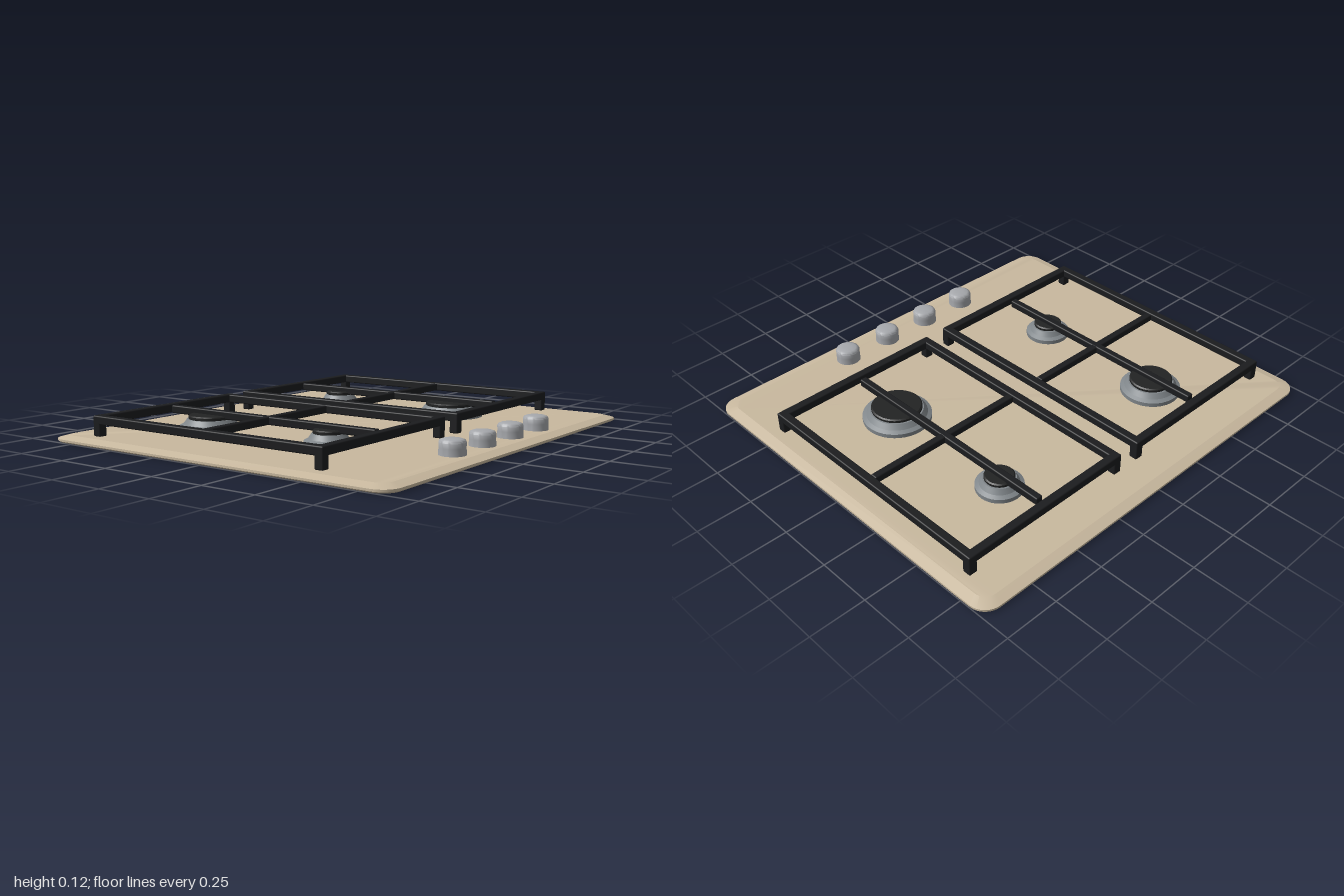
import * as THREE from 'three';
import { toCreasedNormals } from 'three/addons/utils/BufferGeometryUtils.js';
import { RoundedBoxGeometry } from 'three/addons/geometries/RoundedBoxGeometry.js';

const material = (name, color) => {
  const m = new THREE.MeshStandardMaterial({ color });
  m.name = name;
  return m;
};

// Points round a rectangle with rounded corners, at height y
function roundedLoop(halfX, halfZ, radius, y, steps = 8) {
  const points = [];
  for (let c = 0; c < 4; c++) {
    const sx = c === 0 || c === 3 ? 1 : -1, sz = c < 2 ? 1 : -1;
    for (let i = 0; i <= steps; i++) {
      const a = (c + i / steps) * Math.PI / 2;
      points.push([sx * (halfX - radius) + radius * Math.cos(a), y,
        sz * (halfZ - radius) + radius * Math.sin(a)]);
    }
  }
  return points;
}

// Closed solid through a stack of loops, from bottom to top
function loftLoops(loops) {
  const n = loops[0].length, index = [];
  const positions = loops.flat(2);
  for (let l = 0; l < loops.length - 1; l++) {
    for (let i = 0; i < n; i++) {
      const a = l * n + i, b = l * n + (i + 1) % n;
      index.push(a, a + n, b, b, a + n, b + n);
    }
  }
  const top = (loops.length - 1) * n;
  for (let i = 1; i < n - 1; i++) {
    index.push(0, i, i + 1, top, top + i + 1, top + i);
  }
  const g = new THREE.BufferGeometry();
  g.setAttribute('position', new THREE.Float32BufferAttribute(positions, 3));
  g.setIndex(index);
  return toCreasedNormals(g, 0.25);
}

function lathe(profile, crease) {
  const g = new THREE.LatheGeometry(profile.map(([r, y]) => new THREE.Vector2(r, y)), 40);
  return toCreasedNormals(g, crease);
}

export function createModel() {
  const enamel = material('beige enamel', 0xc9b99f);
  const iron = material('black cast iron', 0x1b1c1e);
  const cap = material('burner cap black', 0x222323);
  const steel = material('burner grey', 0x80868a);
  const knobMetal = material('knob silver', 0xa6a8ac);

  const model = new THREE.Group();
  model.name = 'gasHob';
  const add = (parent, name, geometry, mat, x = 0, y = 0, z = 0) => {
    const mesh = new THREE.Mesh(geometry, mat);
    mesh.name = name;
    mesh.position.set(x, y, z);
    parent.add(mesh);
    return mesh;
  };

  // Base plate with a shallow bevelled rim
  add(model, 'basePlate', loftLoops([
    roundedLoop(0.992, 0.872, 0.072, 0),
    roundedLoop(1, 0.88, 0.08, 0.006),
    roundedLoop(1, 0.88, 0.08, 0.015),
    roundedLoop(0.955, 0.835, 0.055, 0.028),
  ]), enamel);

  // Pan supports: frame, feet and crossing bars
  const zBack = -0.705, zFront = 0.53, zMid = (zBack + zFront) / 2;
  const width = 0.86, depth = zFront - zBack, bar = 0.04, barY = 0.099;
  for (const side of [-1, 1]) {
    const grate = new THREE.Group();
    grate.name = side < 0 ? 'rightPanSupport' : 'leftPanSupport';
    grate.position.set(side * 0.48, 0, zMid);
    const beam = (name, sx, sy, sz, x, y, z) =>
      add(grate, name, new RoundedBoxGeometry(sx, sy, sz, 2, 0.006), iron, x, y, z);
    for (const s of [-1, 1]) {
      beam('frameSideBar', bar, 0.038, depth, s * (width - bar) / 2, barY, 0);
      beam('frameEndBar', width, 0.038, bar, 0, barY, s * (depth - bar) / 2);
      for (const t of [-1, 1]) {
        beam('foot', bar, 0.08, bar, s * (width - bar) / 2, 0.067, t * (depth - bar) / 2);
      }
    }
    beam('longBar', 0.034, 0.036, 1.125, 0, barY, 0);
    beam('crossBar', 0.78, 0.034, 0.034, 0, barY, 0);
    model.add(grate);
  }

  // Burners: flared grey body with a black cap
  const burners = [
    ['backRightBurner', -0.485, -0.42, 0.138, 0.098],
    ['frontRightBurner', -0.485, 0.237, 0.104, 0.066],
    ['backLeftBurner', 0.48, -0.42, 0.104, 0.066],
    ['frontLeftBurner', 0.48, 0.237, 0.155, 0.114],
  ];
  for (const [name, x, z, r, capR] of burners) {
    const burner = new THREE.Group();
    burner.name = name;
    burner.position.set(x, 0, z);
    add(burner, 'burnerBody', lathe([
      [r, 0.026], [r, 0.047], [r - 0.018, 0.056], [capR + 0.006, 0.078], [0, 0.078],
    ], 0.3), steel);
    add(burner, 'burnerCap', lathe([
      [capR - 0.004, 0.076], [capR, 0.08], [capR, 0.09], [capR - 0.006, 0.095], [0, 0.095],
    ], 0.5), cap);
    model.add(burner);
  }

  // Row of control knobs with softly domed tops
  const knobGeometry = lathe([
    [0.057, 0], [0.055, 0.03], [0.056, 0.052], [0.052, 0.06], [0.04, 0.065], [0.02, 0.067], [0, 0.068],
  ], 1);
  [-0.365, -0.125, 0.117, 0.357].forEach((x, i) =>
    add(model, `controlKnob${i + 1}`, knobGeometry, knobMetal, x, 0.027, 0.752));

  return model;
}
